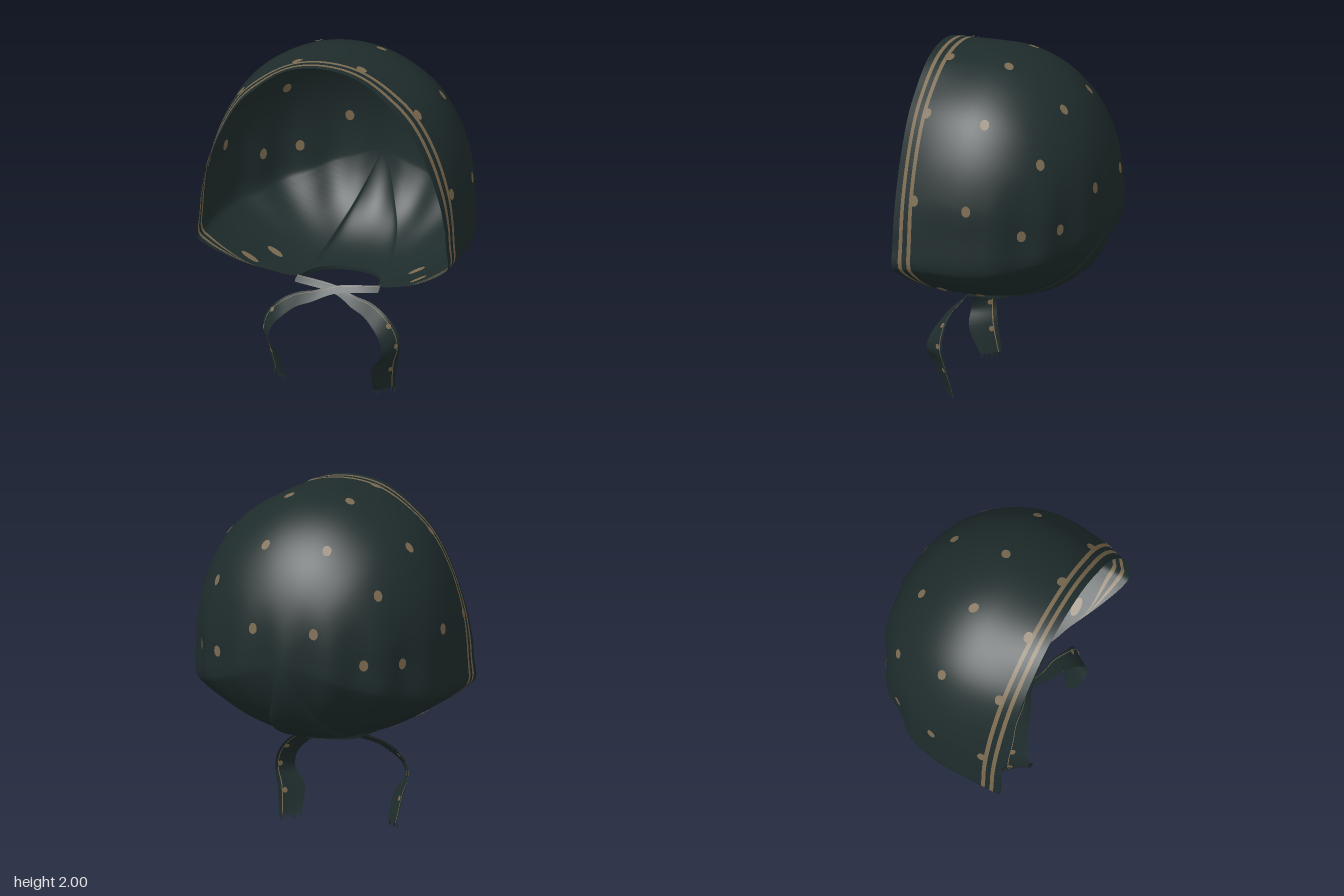
import * as THREE from 'three';

const V = (x, y, z) => new THREE.Vector3(x, y, z);
const { clamp, smoothstep } = THREE.MathUtils;

// Grid of points fn(i, k); strips k for which isGold(k) is true use the second material
function grid(nu, nv, fn, closed, isGold) {
  const pos = [], idx = [], geo = new THREE.BufferGeometry();
  for (let k = 0; k < nv; k++) for (let i = 0; i < nu; i++) pos.push(...fn(i, k).toArray());
  for (let k = 0; k < nv - 1; k++) {
    const start = idx.length;
    for (let i = 0; i < (closed ? nu : nu - 1); i++) {
      const a = k * nu + i, b = k * nu + (i + 1) % nu;
      idx.push(a, b, a + nu, b, b + nu, a + nu);
    }
    geo.addGroup(start, idx.length - start, isGold(k) ? 1 : 0);
  }
  geo.setAttribute('position', new THREE.Float32BufferAttribute(pos, 3));
  geo.setIndex(idx);
  geo.computeVertexNormals();
  return geo;
}

export function createModel() {
  const group = new THREE.Group();
  const cloth = new THREE.MeshStandardMaterial({ color: 0x1f2c2c, side: THREE.DoubleSide });
  cloth.name = 'dark green cloth';
  const gold = new THREE.MeshStandardMaterial({ color: 0x7b6a50, side: THREE.DoubleSide });
  gold.name = 'dull gold print';
  const add = (name, geo, mat, parent = group) => {
    const mesh = new THREE.Mesh(geo, mat);
    mesh.name = name;
    parent.add(mesh);
    return mesh;
  };

  // Rim of the bonnet, from the nape up one side to the crown: x, y and z of the edge
  const half = [
    [0, 0.6, 0], [0.12, 0.6, 0.025], [0.2, 0.6, 0.1], [0.25, 0.61, 0.25], [0.4, 0.66, 0.33],
    [0.55, 0.735, 0.42], [0.7, 0.835, 0.5], [0.75, 0.89, 0.515], [0.752, 1.1, 0.515], [0.738, 1.3, 0.515],
    [0.67, 1.54, 0.515], [0.55, 1.745, 0.515], [0.4, 1.875, 0.515], [0.2, 1.97, 0.515], [0, 1.998, 0.515],
  ].map(p => V(...p));
  const other = half.slice(1, -1).reverse().map(p => V(-p.x, p.y, p.z));
  const rim = new THREE.CatmullRomCurve3([...half, ...other], true);
  const NU = 168, CY = 1.12, BACK = -0.52;

  // Vertical gathers around the back, fading out at the front, the nape and the crown
  const gather = p => {
    const a = Math.atan2(p.x, 0.1 - p.z);
    const fade = smoothstep(p.y, 0.6, 0.95) * (1 - smoothstep(p.y, 1.0, 1.5)) * (1 - smoothstep(p.z, -0.2, 0.15));
    const f = 1 + 0.018 * fade * (Math.cos(14 * a) - 1);
    return V(p.x * f, p.y, 0.1 + (p.z - 0.1) * f);
  };

  // Rings: domed back, plain side, then the striped front border (distances from the edge)
  const DOME = 30, SIDE = 5, border = [0.115, 0.091, 0.062, 0.039, 0];
  const shellPoint = (i, k) => {
    const e = rim.getPoint(i / NU), dx = e.x, dy = e.y - CY;
    const zm = Math.min(e.z, 0.17);
    if (k <= DOME) {
      const a = k / DOME * Math.PI / 2;
      const low = 1 - smoothstep(e.y, 0.6, 1.1);
      const f = Math.pow(Math.sin(a), 0.93 + 0.12 * low);
      return gather(V(dx * f, CY + dy * f, BACK + (zm - BACK) * (1 - Math.cos(a))));
    }
    // The stripes taper away along the slanted lower edge
    const L = e.z - zm, shrink = smoothstep(e.y, 0.66, 0.86), n = k - DOME;
    const d = n < SIDE ? L + (border[0] * shrink - L) * n / SIDE : border[n - SIDE] * shrink;
    const t = L > 1e-4 ? 1 - d / L : 0;
    const pinch = 0.025 * smoothstep(e.y, 0.88, 1) * (1 - smoothstep(e.y, 1.85, 2))
      + 0.055 * Math.sin(Math.PI * clamp((e.y - 1.1) / 0.9, 0, 1));
    const f = 1 - pinch * t * t;
    return V(dx * f, CY + dy * f, zm + L - d);
  };
  const first = DOME + SIDE;
  const shell = grid(NU, first + border.length, shellPoint, true, k => k === first || k === first + 2);
  add('bonnetShell', shell, [cloth, gold]);

  // Printed dots, laid on the outside and the inside of the cloth
  const dots = new THREE.Group();
  dots.name = 'printedDots';
  group.add(dots);
  const P = shell.attributes.position, N = shell.attributes.normal;
  const disc = new THREE.CircleGeometry(0.026, 14);
  const placeDot = (target, length) => {
    let best = 0, dist = Infinity;
    const v = V(0, 0, 0), n = V(0, 0, 0);
    for (let i = NU; i < P.count; i++) {
      const d = v.fromBufferAttribute(P, i).distanceToSquared(target);
      if (d < dist) { dist = d; best = i; }
    }
    v.fromBufferAttribute(P, best);
    n.fromBufferAttribute(N, best);
    const c = target.clone().addScaledVector(n, -target.clone().sub(v).dot(n));
    for (const side of [1, -1]) {
      const dot = add('dot', disc, gold, dots);
      dot.position.copy(c).addScaledVector(n, 0.005 * side);
      dot.lookAt(dot.position.clone().addScaledVector(n, side));
      dot.scale.y = length;
    }
  };
  const spots = [
    [0.19, 1.76, -0.31], [0.5, 1.52, -0.29], [0.185, 1.31, -0.49], [0.45, 1.13, -0.39],
    [0.62, 1.12, -0.22], [0.56, 1.74, 0.03], [0.19, 1.98, 0.03], [0.19, 1.97, 0.39],
    [0.52, 1.74, 0.39], [0.73, 1.29, 0.39], [0.74, 1.27, 0.07], [0.42, 0.68, 0.11, 2], [0.5, 0.715, 0.31, 2.2],
  ];
  for (const [x, y, z, length = 1.25] of spots) for (const s of [1, -1]) placeDot(V(s * x, y, z), length);

  // Gathered band around the nape
  const nape = new THREE.CatmullRomCurve3([...half.slice(1, 4).reverse().map(p => V(-p.x, p.y, p.z)), ...half.slice(0, 4)]);
  add('napeBand', grid(33, 2, (i, k) => {
    const p = nape.getPoint(i / 32);
    return V(p.x, p.y - 0.022 * k, p.z);
  }, false, () => false), cloth);

  // Ties: two edges of a ribbon that crosses under the chin and hangs down
  const outer = [[-0.25, 0.61, 0.23], [0, 0.59, 0.27], [0.12, 0.555, 0.3], [0.22, 0.53, 0.31], [0.32, 0.475, 0.34],
    [0.39, 0.39, 0.35], [0.407, 0.3, 0.35], [0.385, 0.2, 0.335], [0.36, 0.035, 0.3]];
  const inner = [[-0.25, 0.58, 0.27], [0, 0.55, 0.3], [0.12, 0.505, 0.36], [0.2, 0.475, 0.39], [0.27, 0.42, 0.425],
    [0.32, 0.36, 0.455], [0.335, 0.28, 0.475], [0.275, 0.19, 0.465], [0.262, 0.035, 0.39]];
  const curveA = new THREE.CatmullRomCurve3(outer.map(p => V(...p)));
  const curveB = new THREE.CatmullRomCurve3(inner.map(p => V(...p)));
  const columns = [0, 0.14, 0.18, 0.4, 0.7, 1];
  for (const s of [1, -1]) {
    const tie = new THREE.Group();
    tie.name = s > 0 ? 'leftTie' : 'rightTie';
    group.add(tie);
    const at = (t, w) => {
      const p = curveA.getPoint(t).lerp(curveB.getPoint(t), w);
      const lift = s < 0 ? 0.02 * t : 0;
      return V(p.x * s, p.y + lift, p.z + (s < 0 ? 0.008 * (1 - t) : 0));
    };
    add('ribbon', grid(49, columns.length, (i, k) => at(i / 48, columns[k]), false, k => k === 1), [cloth, gold], tie);
    // Dots on the ribbon
    for (const t of [0.56, 0.72, 0.9]) {
      const c = at(t, 0.25);
      const n = at(t + 0.01, 0.25).sub(c).cross(at(t, 0.6).sub(c)).normalize();
      for (const side of [1, -1]) {
        const dot = add('ribbonDot', disc, gold, tie);
        dot.position.copy(c).addScaledVector(n, 0.005 * side);
        dot.lookAt(dot.position.clone().addScaledVector(n, side));
        dot.scale.setScalar(0.6);
      }
    }
    // Frayed threads at the end
    for (let i = 0; i < 9; i++) {
      const len = 0.02 + 0.012 * (i % 3 === 0 ? 1 : 0.3 * (i % 2));
      const thread = add('fringeThread', new THREE.BoxGeometry(0.004, len, 0.004), cloth, tie);
      thread.position.copy(at(1, 0.03 + 0.94 * i / 8));
      thread.position.y -= len / 2;
    }
  }
  return group;
}
